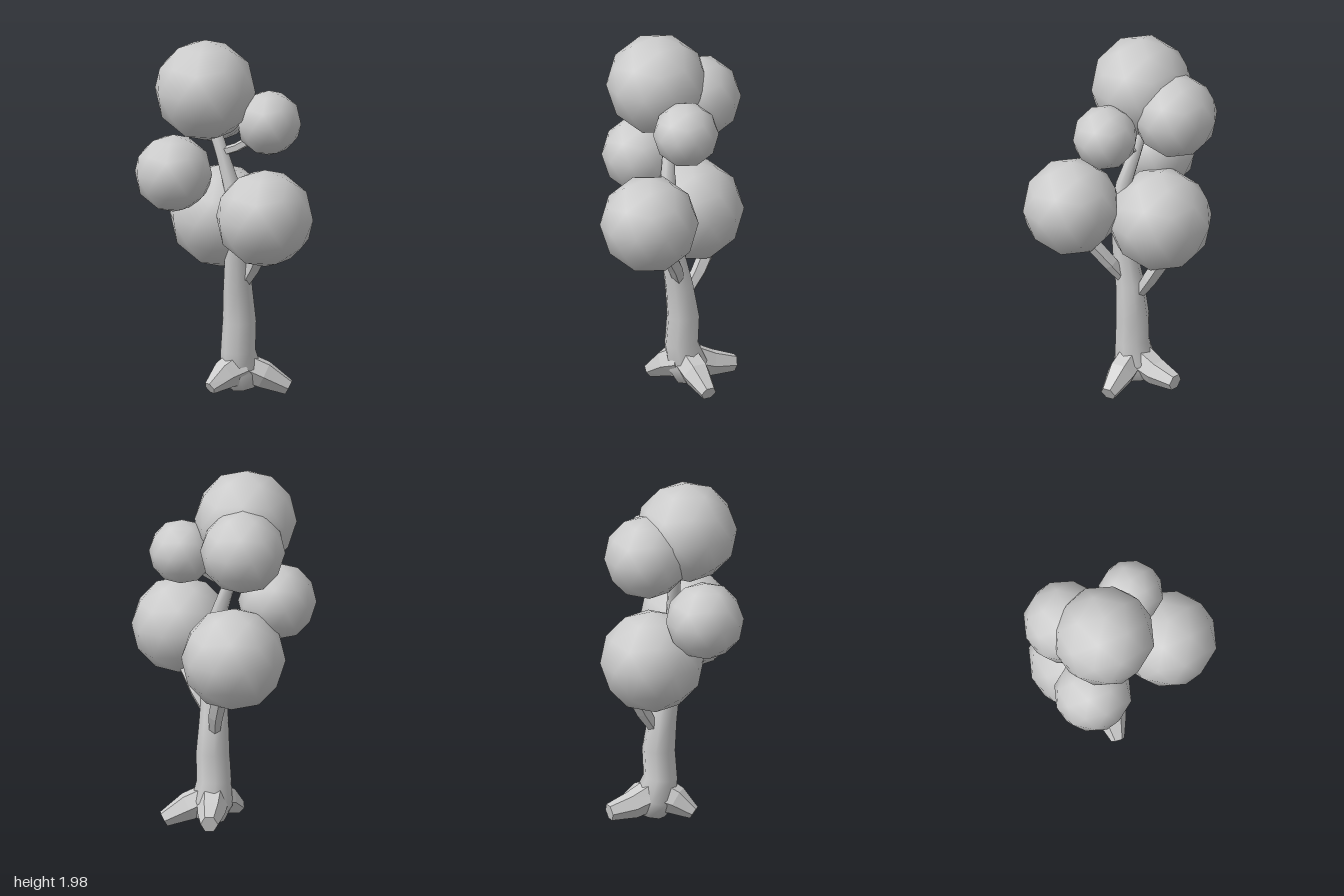
import * as THREE from 'three';

const smooth = new THREE.MeshStandardMaterial({ color: 0xcccccc });
const faceted = new THREE.MeshStandardMaterial({ color: 0xcccccc, flatShading: true });

// Tapered limb through stations [x, y, z, radius], closed at both ends
function limb(name, stations, sides, material) {
  const centres = stations.map(([x, y, z]) => new THREE.Vector3(x, y, z));
  const last = centres.length - 1;
  const overall = centres[last].clone().sub(centres[0]).normalize();
  const ref = Math.abs(overall.y) > 0.8 ? new THREE.Vector3(0, 0, 1) : new THREE.Vector3(0, 1, 0);
  const positions = [];
  const index = [];
  centres.forEach((c, i) => {
    const t = centres[Math.min(i + 1, last)].clone().sub(centres[Math.max(i - 1, 0)]).normalize();
    const u = ref.clone().cross(t).normalize();
    const v = t.clone().cross(u);
    for (let j = 0; j < sides; j++) {
      const a = (j / sides) * Math.PI * 2;
      const p = c.clone()
        .addScaledVector(u, Math.cos(a) * stations[i][3])
        .addScaledVector(v, Math.sin(a) * stations[i][3]);
      positions.push(p.x, p.y, p.z);
    }
  });
  const start = (last + 1) * sides;
  positions.push(...centres[0].toArray(), ...centres[last].toArray());
  for (let j = 0; j < sides; j++) {
    const k = (j + 1) % sides;
    for (let i = 0; i < last; i++) {
      const a = i * sides + j, b = i * sides + k;
      index.push(a, b, b + sides, a, b + sides, a + sides);
    }
    index.push(start, k, j, start + 1, last * sides + j, last * sides + k);
  }
  const geometry = new THREE.BufferGeometry();
  geometry.setAttribute('position', new THREE.Float32BufferAttribute(positions, 3));
  geometry.setIndex(index);
  geometry.computeVertexNormals();
  const mesh = new THREE.Mesh(geometry, material);
  mesh.name = name;
  return mesh;
}

export function createModel() {
  const tree = new THREE.Group();
  tree.name = 'tree';

  // Winding trunk, thinning towards the crown
  tree.add(limb('trunk', [
    [0.15, 0.05, -0.07, 0.08],
    [0.13, 0.14, -0.07, 0.115],
    [0.1, 0.26, -0.06, 0.095],
    [0.11, 0.42, -0.06, 0.092],
    [0.09, 0.6, -0.05, 0.08],
    [0.06, 0.8, -0.025, 0.066],
    [0.04, 1.0, -0.01, 0.055],
    [0.03, 1.18, -0.03, 0.045],
    [0.02, 1.34, -0.09, 0.036],
    [0, 1.52, -0.15, 0.034],
  ], 8, smooth));

  // Three splayed roots
  const roots = [
    ['frontRoot', [[0.13, 0.17, -0.05, 0.08], [0.21, 0.12, 0.03, 0.08], [0.305, 0.05, 0.125, 0.045]]],
    ['backRoot', [[0.13, 0.17, -0.08, 0.09], [0.24, 0.12, -0.16, 0.075], [0.35, 0.1, -0.24, 0.048]]],
    ['rightRoot', [[0.1, 0.16, -0.06, 0.1], [0.01, 0.13, -0.07, 0.08], [-0.09, 0.07, -0.08, 0.038]]],
  ];
  for (const [name, stations] of roots) tree.add(limb(name, stations, 6, faceted));

  // Branches reaching into the foliage
  const branches = [
    ['frontBranch', [[0.1, 0.63, -0.02, 0.03], [0.1, 0.74, 0.06, 0.042], [0.08, 0.88, 0.17, 0.045]]],
    ['backBranch', [[0.13, 0.55, -0.09, 0.03], [0.18, 0.66, -0.14, 0.042], [0.22, 0.78, -0.2, 0.045]]],
    ['upperBranch', [[0.015, 1.37, -0.1, 0.026], [0.06, 1.4, -0.03, 0.026], [0.12, 1.46, 0.05, 0.026]]],
  ];
  for (const [name, stations] of branches) tree.add(limb(name, stations, 5, faceted));

  // Foliage balls [x, y, z, radius], each with a vertex at its pole
  const ball = new THREE.IcosahedronGeometry(1, 1);
  ball.rotateZ(-Math.atan(2 / (1 + Math.sqrt(5))));
  const foliage = new THREE.Group();
  foliage.name = 'foliage';
  [
    [-0.06, 1.72, -0.15, 0.28],
    [0.172, 1.545, 0.11, 0.18],
    [0.134, 1.612, -0.295, 0.233],
    [-0.185, 1.255, -0.27, 0.215],
    [0.005, 1.062, 0.26, 0.27],
    [0.118, 0.983, -0.215, 0.286],
  ].forEach(([x, y, z, r], i) => {
    const mesh = new THREE.Mesh(ball, smooth);
    mesh.name = `foliageBall${i + 1}`;
    mesh.position.set(x, y, z);
    mesh.scale.setScalar(r);
    foliage.add(mesh);
  });
  tree.add(foliage);
  return tree;
}
